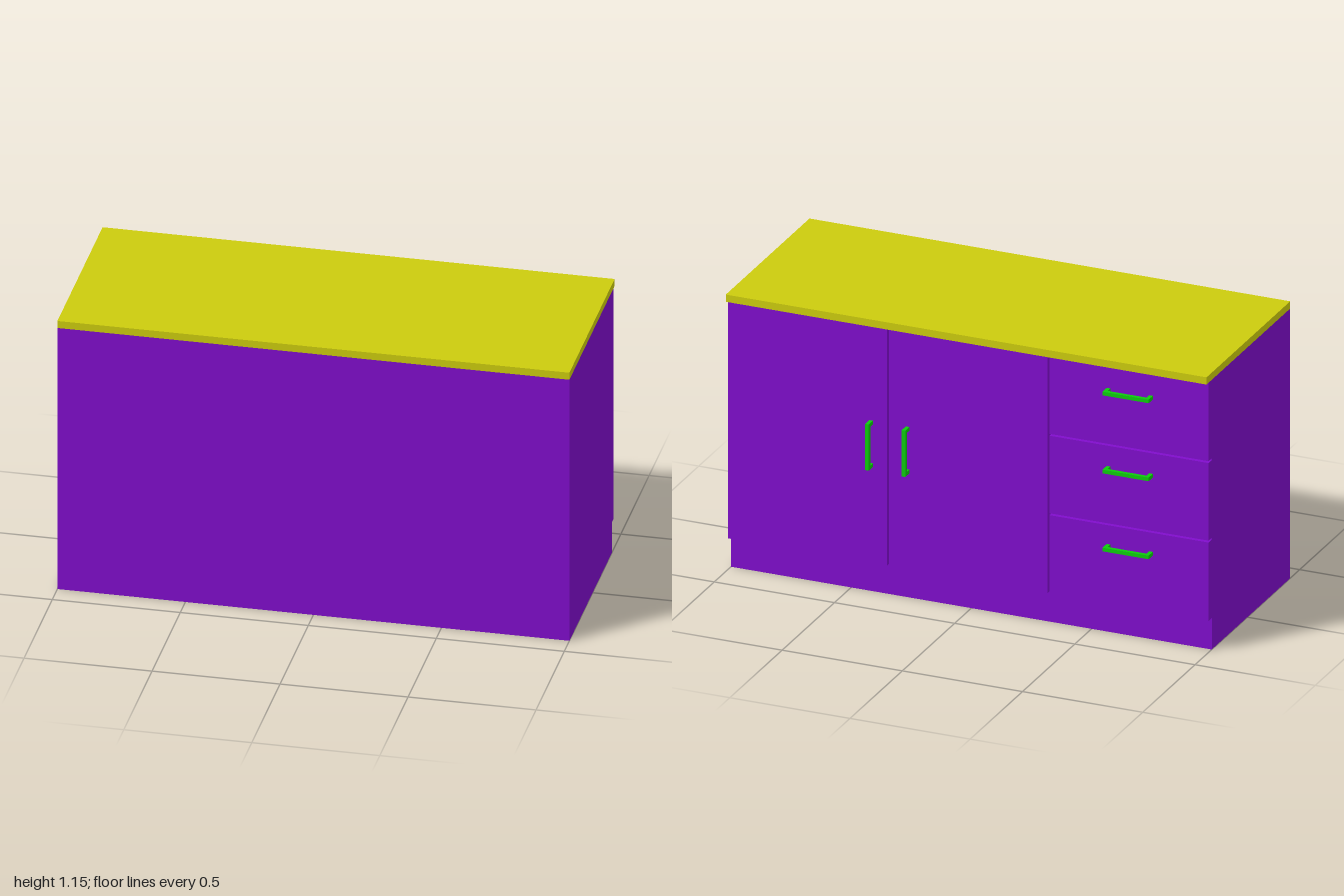
import * as THREE from 'three';

const purple = new THREE.MeshStandardMaterial({ color: 0x800dcc });
const yellow = new THREE.MeshStandardMaterial({ color: 0xcccc0d });
const green = new THREE.MeshStandardMaterial({ color: 0x0dcc0d });

// Box given by its minimum and maximum corners
function box(name, material, [x0, y0, z0], [x1, y1, z1]) {
  const mesh = new THREE.Mesh(new THREE.BoxGeometry(x1 - x0, y1 - y0, z1 - z0), material);
  mesh.position.set((x0 + x1) / 2, (y0 + y1) / 2, (z0 + z1) / 2);
  mesh.name = name;
  return mesh;
}

// Square-section bar on two posts, lying along x and standing out towards -z
function handle(name, x, y, vertical) {
  const half = 0.096, t = 0.015, depth = 0.04;
  const group = new THREE.Group();
  group.name = name;
  group.add(box('handleBar', green, [-half, -t / 2, -depth], [half, t / 2, t - depth]));
  for (const s of [-1, 1]) {
    const c = s * (half - t / 2);
    group.add(box('handlePost', green, [c - t / 2, -t / 2, t - depth], [c + t / 2, t / 2, 0]));
  }
  group.position.set(x, y, -0.37);
  if (vertical) group.rotation.z = Math.PI / 2;
  return group;
}

export function createModel() {
  const model = new THREE.Group();
  model.name = 'kitchenCabinet';
  const base = 0.13, top = 1.12, gap = 0.004;
  const front = -0.37, body = -0.34, back = 0.41;

  // Carcass, with the recessed plinth flush below the fronts, and worktop
  model.add(box('carcass', purple, [-1, 0, body], [1, top, back]));
  model.add(box('worktop', yellow, [-1, top, -0.39], [1, 1.15, back]));

  // Two doors with their upright handles either side of the joint
  const split = 1 / 3;
  model.add(box('leftDoor', purple, [split + gap, base, front], [1, top, body]));
  model.add(box('rightDoor', purple, [-split + gap, base, front], [split - gap, top, body]));
  for (const s of [-1, 1]) model.add(handle('doorHandle', 0.328 + s * 0.076, 0.626, true));

  // Column of three drawers
  const pitch = (top - base) / 3;
  for (let i = 0; i < 3; i++) {
    const y0 = base + i * pitch + (i > 0 ? gap : 0);
    const y1 = base + (i + 1) * pitch - (i < 2 ? gap : 0);
    model.add(box('drawerFront', purple, [-1, y0, front], [-split - gap, y1, body]));
    model.add(handle('drawerHandle', -0.672, 0.37 + i * 0.324, false));
  }
  return model;
}
